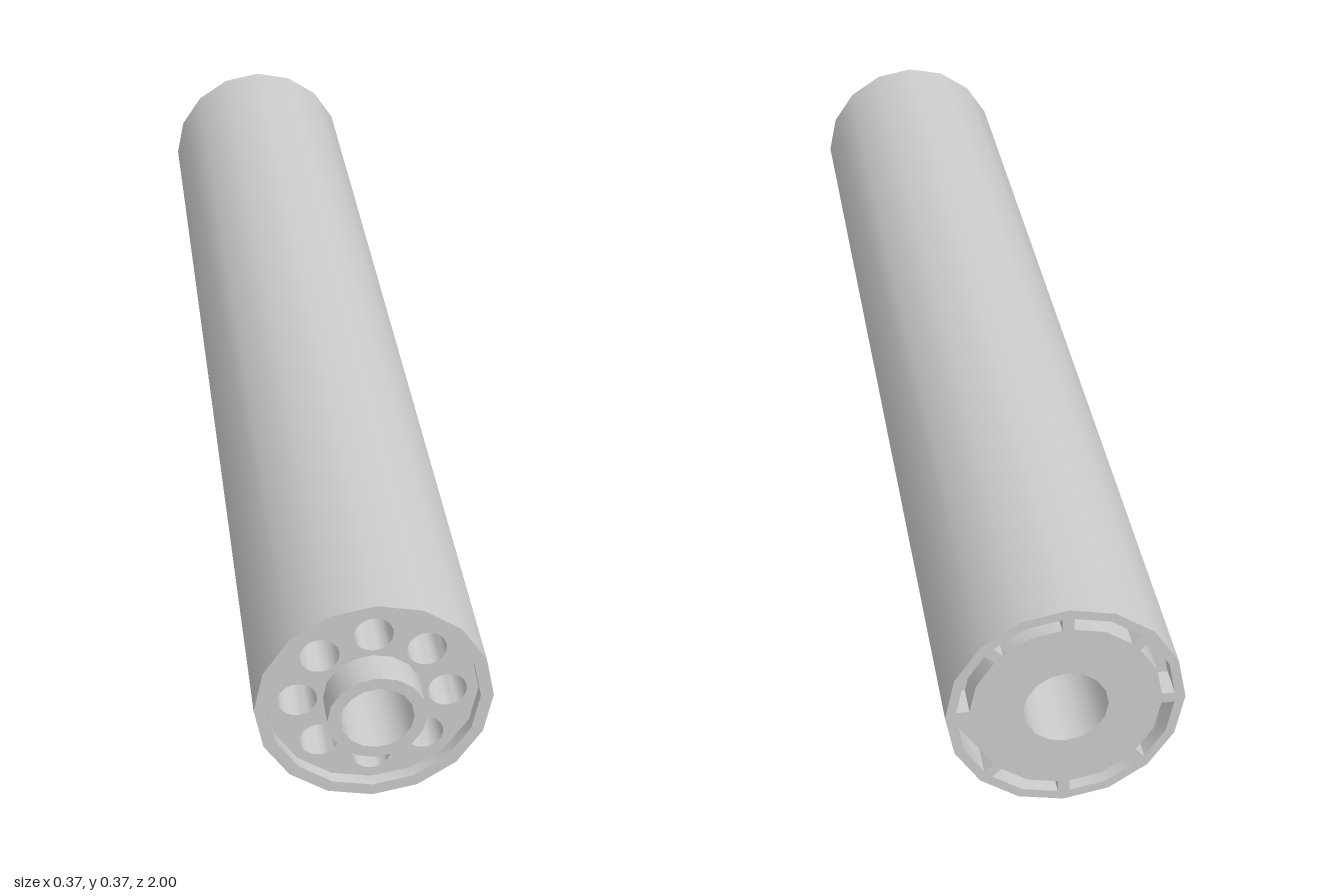
import * as THREE from 'three';
import { toCreasedNormals } from 'three/addons/utils/BufferGeometryUtils.js';

const SIDES = 16;
const RADIUS = 0.183;
const material = new THREE.MeshStandardMaterial({ color: 0xcccccc });

function addMesh(group, name, geometry) {
  const mesh = new THREE.Mesh(toCreasedNormals(geometry, 0.6), material);
  mesh.name = name;
  group.add(mesh);
  return mesh;
}

// Revolves [radius, z] pairs around the z axis
function turned(profile) {
  const points = profile.map(([r, z]) => new THREE.Vector2(r, z));
  return new THREE.LatheGeometry(points, SIDES).rotateX(Math.PI / 2);
}

// Regular polygon as a 2D point list
function ring(radius, sides, cx = 0, cy = 0) {
  return Array.from({ length: sides }, (_, i) => {
    const a = (i / sides) * Math.PI * 2;
    return new THREE.Vector2(cx + radius * Math.cos(a), cy + radius * Math.sin(a));
  });
}

export function createModel() {
  const model = new THREE.Group();
  model.name = 'ventedTube';

  // Outer shell with a thin raised rim at both ends
  addMesh(model, 'outerShell', turned([
    [0.168, -0.95], [0.168, -1], [RADIUS, -1], [RADIUS, 0.965], [0.163, 0.965], [0.163, 0.945],
  ]));

  // Front collar, through bore and rear end face
  addMesh(model, 'boreTube', turned([
    [0.076, 0.945], [0.076, 1], [0.056, 1], [0.056, 0.8],
    [0.065, 0.8], [0.065, -1], [0.148, -1], [0.148, -0.95],
  ]));

  // Front plate with a circle of eight blind holes
  const plate = new THREE.Shape(ring(0.163, SIDES));
  plate.holes.push(new THREE.Path(ring(0.07, SIDES)));
  for (let i = 0; i < 8; i++) {
    const a = (i * Math.PI) / 4;
    plate.holes.push(new THREE.Path(ring(0.03, 24, 0.115 * Math.cos(a), 0.115 * Math.sin(a))));
  }
  const depth = 0.145;
  addMesh(model, 'frontPlate', new THREE.ExtrudeGeometry(plate, { depth, bevelEnabled: false }))
    .position.z = 0.945 - depth;
  addMesh(model, 'holeFloor', turned([[0.163, 0.805], [0.07, 0.805]]));

  // Rear slots: floor and the eight bridges that divide them
  addMesh(model, 'slotFloor', turned([[0.148, -0.95], [0.168, -0.95]]));
  for (let i = 0; i < 8; i++) {
    const bridge = new THREE.BoxGeometry(0.026, 0.018, 0.05)
      .translate(0.157, 0, -0.975)
      .rotateZ((i * Math.PI) / 4);
    addMesh(model, 'rearBridge', bridge);
  }

  model.children.forEach((part) => { part.position.y = RADIUS; });
  return model;
}
